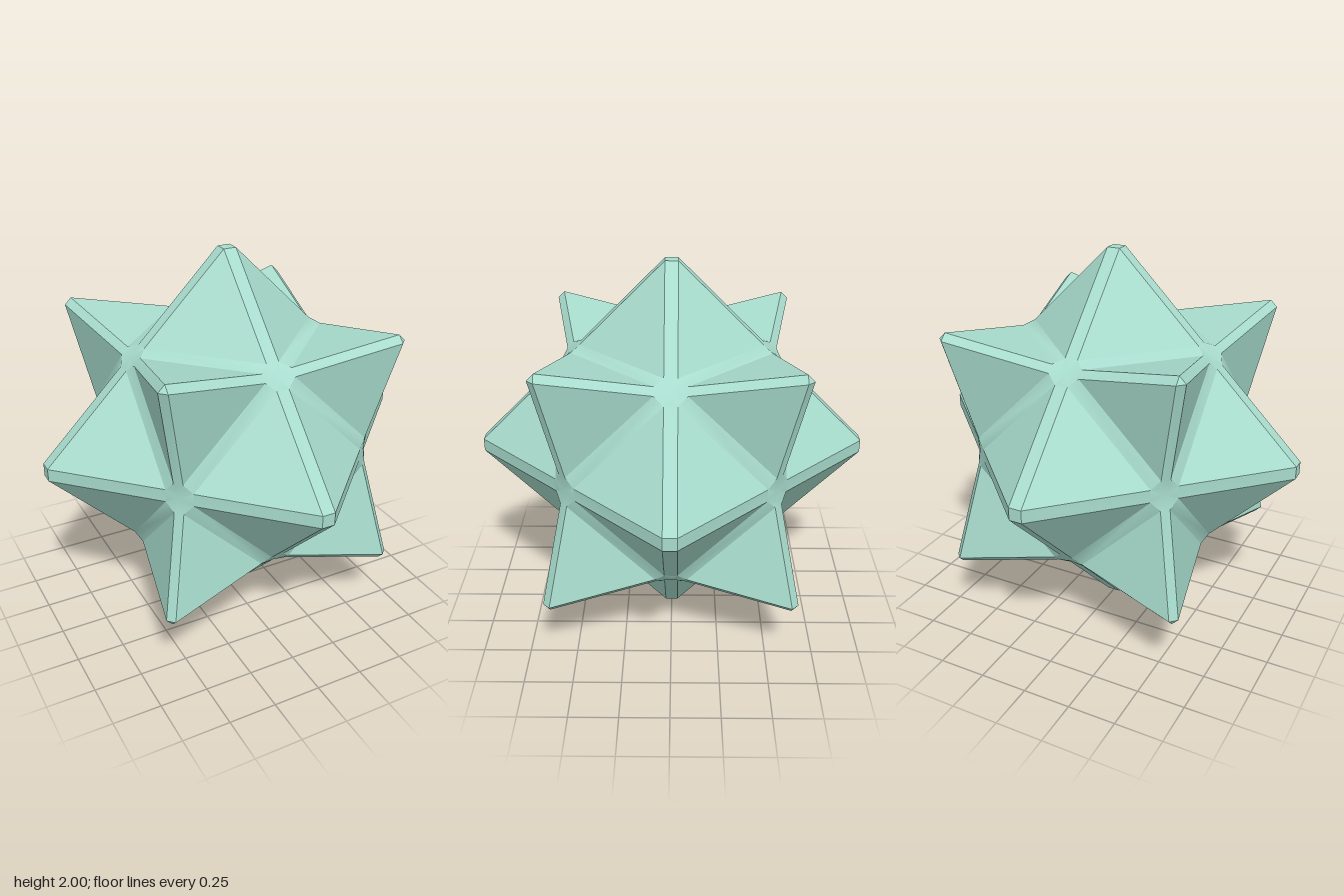
import * as THREE from 'three';
import { toCreasedNormals } from 'three/addons/utils/BufferGeometryUtils.js';

const SQUARE_TIP = 1.066;   // axis spikes before bevelling
const VALLEY = 0.533;       // cuboctahedron core corners
const CORNER_TIP = 0.663;   // diagonal spikes before bevelling
const BEVEL = 0.0404;       // inset of every face from its edges

// Side faces of all spikes, octant by octant
function spikeFaces() {
  const faces = [];
  for (const sx of [-1, 1]) for (const sy of [-1, 1]) for (const sz of [-1, 1]) {
    const signs = new THREE.Vector3(sx, sy, sz);
    const valleys = [0, 1, 2].map(k =>
      new THREE.Vector3(VALLEY, VALLEY, VALLEY).setComponent(k, 0).multiply(signs));
    const cornerTip = signs.clone().multiplyScalar(CORNER_TIP);
    for (let k = 0; k < 3; k++) {
      const tip = new THREE.Vector3().setComponent(k, SQUARE_TIP).multiply(signs);
      const a = valleys[(k + 1) % 3], b = valleys[(k + 2) % 3];
      faces.push([tip, a, b], [cornerTip, a, b]);
    }
  }
  return faces;
}

const keyOf = p => p.toArray().map(c => Math.round(c * 1000)).join(',');

// Corner of a triangle moved inward by the bevel width
function insetCorner(p, q, r) {
  const u = q.clone().sub(p).normalize();
  const w = r.clone().sub(p).normalize();
  const sine = u.clone().cross(w).length();
  return u.add(w).multiplyScalar(BEVEL / sine).add(p);
}

function bevelledGeometry(faces) {
  const positions = [];
  // Adds a triangle, wound to face away from the centre
  const addTriangle = (a, b, c) => {
    const n = b.clone().sub(a).cross(c.clone().sub(a));
    const out = a.clone().add(b).add(c);
    for (const p of n.dot(out) < 0 ? [a, c, b] : [a, b, c]) positions.push(p.x, p.y, p.z);
  };

  const edges = new Map();
  const corners = new Map();
  for (const face of faces) {
    const inset = face.map((p, i) => insetCorner(p, face[(i + 1) % 3], face[(i + 2) % 3]));
    addTriangle(...inset);
    face.forEach((p, i) => {
      const j = (i + 1) % 3;
      const ends = [[keyOf(p), inset[i]], [keyOf(face[j]), inset[j]]]
        .sort((m, n) => (m[0] < n[0] ? -1 : 1));
      const edgeKey = ends[0][0] + '|' + ends[1][0];
      if (!edges.has(edgeKey)) edges.set(edgeKey, []);
      edges.get(edgeKey).push(ends.map(e => e[1]));
      if (!corners.has(keyOf(p))) corners.set(keyOf(p), { axis: p.clone().normalize(), ring: [] });
      corners.get(keyOf(p)).ring.push(inset[i]);
    });
  }

  // Bevel strips along ridges and valleys
  for (const [[a, b], [c, d]] of edges.values()) {
    addTriangle(a, b, d);
    addTriangle(a, d, c);
  }

  // Caps on the tips and blends where the valleys meet
  for (const { axis, ring } of corners.values()) {
    const centre = new THREE.Vector3();
    ring.forEach(p => centre.addScaledVector(p, 1 / ring.length));
    const side = ring[0].clone().sub(centre).projectOnPlane(axis).normalize();
    const up = axis.clone().cross(side);
    const angle = p => {
      const d = p.clone().sub(centre);
      return Math.atan2(d.dot(up), d.dot(side));
    };
    const sorted = [...ring].sort((p, q) => angle(p) - angle(q));
    sorted.forEach((p, i) => addTriangle(centre, p, sorted[(i + 1) % sorted.length]));
  }

  const geometry = new THREE.BufferGeometry();
  geometry.setAttribute('position', new THREE.Float32BufferAttribute(positions, 3));
  return toCreasedNormals(geometry, THREE.MathUtils.degToRad(30));
}

export function createModel() {
  const group = new THREE.Group();
  group.name = 'stellatedPolyhedron';
  const star = new THREE.Mesh(
    bevelledGeometry(spikeFaces()),
    new THREE.MeshStandardMaterial({ color: 0xa8dccd })
  );
  star.name = 'bevelledStar';
  star.position.y = 1;
  group.add(star);
  return group;
}
